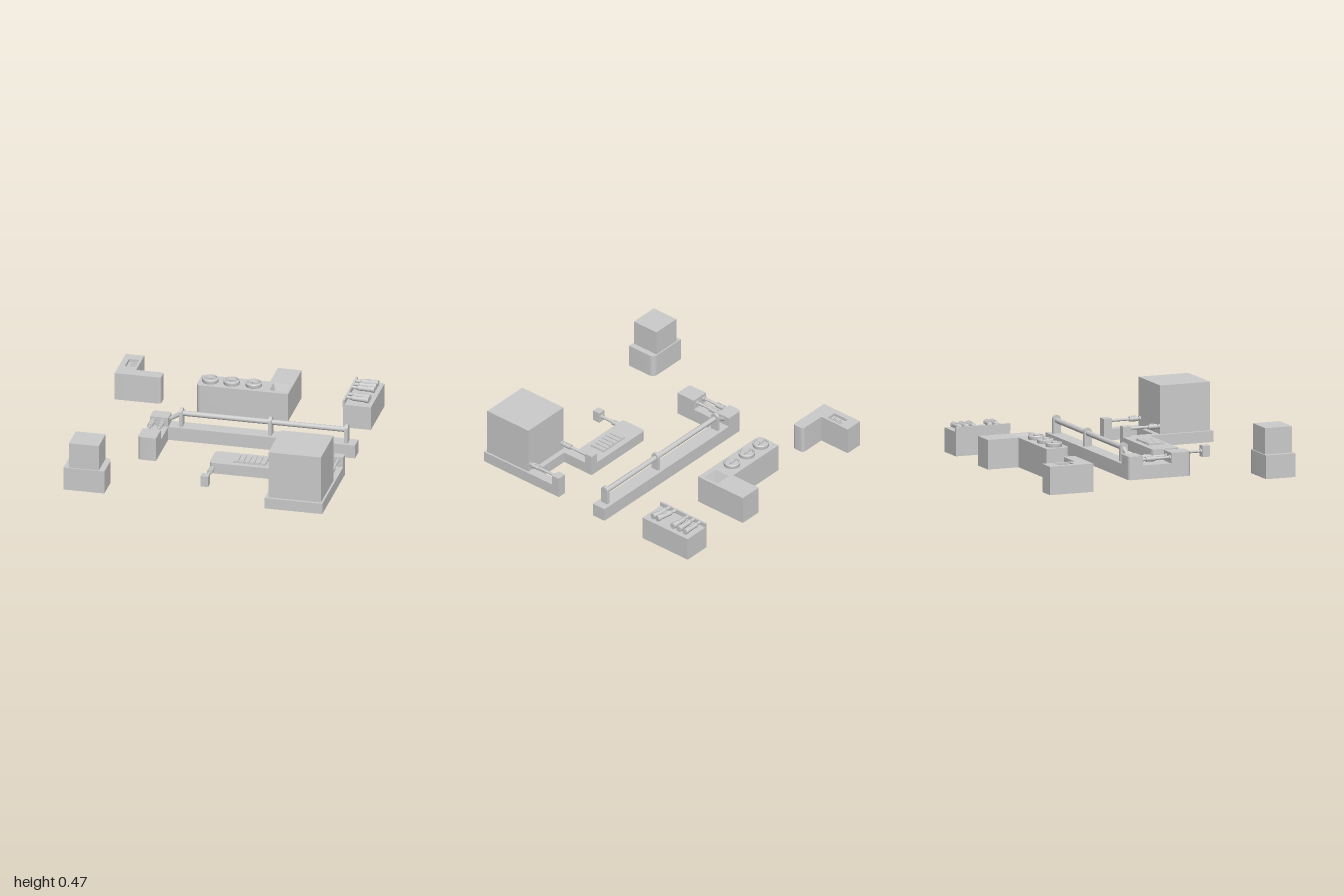
import * as THREE from 'three';
import { mergeGeometries, toCreasedNormals } from 'three/addons/utils/BufferGeometryUtils.js';

const mat = new THREE.MeshStandardMaterial({ color: 0xcccccc, side: THREE.DoubleSide });

function add(parent, name, geo, x = 0, y = 0, z = 0) {
  const m = new THREE.Mesh(geo, mat);
  m.name = name;
  m.position.set(x, y, z);
  parent.add(m);
  return m;
}

function section(parent, name) {
  const g = new THREE.Group();
  g.name = name;
  parent.add(g);
  return g;
}

// Plan outline from [x, z, cornerRadius] points
function outline(pts) {
  const s = new THREE.Shape();
  const n = pts.length;
  const v = pts.map(([x, z]) => new THREE.Vector2(x, -z));
  pts.forEach(([, , r = 0], i) => {
    const p = v[i];
    const toward = (q) => q.clone().sub(p).setLength(r).add(p);
    const a = toward(v[(i + n - 1) % n]);
    const b = toward(v[(i + 1) % n]);
    if (i === 0) s.moveTo(a.x, a.y); else s.lineTo(a.x, a.y);
    if (r) s.quadraticCurveTo(p.x, p.y, b.x, b.y);
  });
  s.closePath();
  return s;
}

const rect = (x0, x1, z0, z1) => [[x0, z0], [x1, z0], [x1, z1], [x0, z1]];

// Hollow block with walls and a top, open underneath; holes pierce the top only
function shell(parent, name, pts, y0, y1, holes = []) {
  const solid = new THREE.ExtrudeGeometry(outline(pts), { depth: y1 - y0, bevelEnabled: false, curveSegments: 6 });
  const side = solid.groups[1];
  const walls = new THREE.BufferGeometry();
  for (const key of ['position', 'normal', 'uv']) {
    const at = solid.attributes[key];
    const k = at.itemSize;
    const part = at.array.slice(side.start * k, (side.start + side.count) * k);
    walls.setAttribute(key, new THREE.BufferAttribute(part, k));
  }
  const lidShape = outline(pts);
  lidShape.holes = holes.map(outline);
  const lid = new THREE.ShapeGeometry(lidShape, 6).toNonIndexed();
  lid.translate(0, 0, y1 - y0);
  const geo = toCreasedNormals(mergeGeometries([walls, lid]), 0.6);
  geo.rotateX(-Math.PI / 2);
  return add(parent, name, geo, 0, y0, 0);
}

function box(parent, name, x0, x1, y0, y1, z0, z1) {
  return add(parent, name, new THREE.BoxGeometry(x1 - x0, y1 - y0, z1 - z0),
    (x0 + x1) / 2, (y0 + y1) / 2, (z0 + z1) / 2);
}

function rod(parent, name, from, to, r, r2 = r) {
  const a = new THREE.Vector3(...from);
  const d = new THREE.Vector3(...to).sub(a);
  const m = add(parent, name, new THREE.CylinderGeometry(r2, r, d.length(), 16));
  m.position.copy(a).addScaledVector(d, 0.5);
  m.quaternion.setFromUnitVectors(new THREE.Vector3(0, 1, 0), d.normalize());
  return m;
}

// Bar along z with flanged ends and a thick coupling
function coupledBar(parent, x, y, z0, z1, c0, c1) {
  const g = section(parent, 'coupledBar');
  rod(g, 'bar', [x, y, z0], [x, y, z1], 0.011);
  rod(g, 'flange', [x, y, z0], [x, y, z0 + 0.012], 0.018);
  rod(g, 'flange', [x, y, z1 - 0.012], [x, y, z1], 0.018);
  rod(g, 'coupling', [x, y, c0], [x, y, c1], 0.02);
  box(g, 'couplingClip', x - 0.006, x + 0.006, y + 0.01, y + 0.024, c0 + 0.018, c1 - 0.018);
}

function cabinet(root) {
  const g = section(root, 'cabinet');
  shell(g, 'cabinetBase', [[-1, 0.76], [-0.685, 0.76, 0.045], [-0.685, 1], [-1, 1]], 0.01, 0.19);
  shell(g, 'cabinetTop', rect(-0.96, -0.73, 0.77, 0.99), 0.19, 0.39);
}

function cornerDesk(root) {
  const g = section(root, 'cornerDesk');
  shell(g, 'deskBody', [[-1, -1], [-0.857, -1], [-0.857, -0.74], [-0.645, -0.74, 0.02],
    [-0.645, -0.645, 0.02], [-1, -0.645]], 0.015, 0.23, [rect(-0.955, -0.875, -0.917, -0.785)]);
  // sunken slotted panel
  shell(g, 'panelWell', rect(-0.955, -0.875, -0.917, -0.785), 0.205, 0.207);
  for (const [x0, x1] of [[-0.956, -0.955], [-0.875, -0.874]]) box(g, 'wellSide', x0, x1, 0.205, 0.23, -0.917, -0.785);
  for (const [z0, z1] of [[-0.918, -0.917], [-0.785, -0.784]]) box(g, 'wellEnd', -0.955, -0.875, 0.205, 0.23, z0, z1);
  for (let i = 0; i < 7; i++) {
    const z = -0.9 + i * 0.017;
    box(g, 'panelBar', -0.91 - (i % 3) * 0.01, -0.877, 0.205, 0.222, z - 0.004, z + 0.004);
  }
}

function burnerCounter(root) {
  const g = section(root, 'burnerCounter');
  const top = 0.24;
  shell(g, 'counterBody', [[-0.353, -0.75], [0.17, -0.75], [0.17, -1], [0.353, -1], [0.353, -0.56],
    [-0.353, -0.56, 0.035]], 0.015, top, [rect(0.2, 0.33, -0.73, -0.6)]);
  // tapering square basin
  const basin = new THREE.CylinderGeometry(0.065 * Math.SQRT2, 0.026 * Math.SQRT2, 0.1, 4, 1, true).toNonIndexed();
  basin.rotateY(Math.PI / 4);
  basin.computeVertexNormals();
  add(g, 'basin', basin, 0.265, top - 0.05, -0.665);
  box(g, 'basinFloor', 0.239, 0.291, top - 0.102, top - 0.1, -0.691, -0.639);
  // dished round burners with a crossbar
  const profile = [[0.06, 0], [0.062, 0.008], [0.062, 0.026], [0.057, 0.032], [0.05, 0.032], [0.046, 0.018], [0, 0.018]]
    .map(([r, y]) => new THREE.Vector2(r, y));
  const dish = toCreasedNormals(new THREE.LatheGeometry(profile, 32), 0.6);
  for (const x of [-0.265, -0.102, 0.068]) {
    add(g, 'burner', dish, x, top, -0.65);
    box(g, 'burnerBar', x - 0.05, x + 0.05, top + 0.018, top + 0.03, -0.654, -0.646);
    rod(g, 'burnerHub', [x, top + 0.018, -0.65], [x, top + 0.032, -0.65], 0.012);
  }
}

function bottleCrate(root) {
  const g = section(root, 'bottleCrate');
  shell(g, 'crateBody', rect(0.775, 0.99, -1, -0.558), 0.015, 0.2);
  box(g, 'crateLip', 0.772, 0.787, 0.18, 0.235, -1, -0.558);
  // bottles lying on the crate: z at the neck end, z at the base end
  for (const [z0, z1] of [[-0.945, -0.942], [-0.885, -0.882], [-0.828, -0.824], [-0.705, -0.672], [-0.645, -0.63]]) {
    const at = (t) => [0.787 + 0.17 * t, 0.224, z0 + (z1 - z0) * t];
    rod(g, 'bottleNeck', at(0), at(0.2), 0.013);
    rod(g, 'bottleShoulder', at(0.17), at(0.27), 0.013, 0.02);
    rod(g, 'bottleBody', at(0.27), at(0.92), 0.02);
    rod(g, 'bottleBase', at(0.86), at(1), 0.024);
    const m = at(0.55);
    box(g, 'bottleLabel', m[0] - 0.022, m[0] + 0.022, 0.235, 0.247, m[2] - 0.006, m[2] + 0.006);
  }
}

function railBar(root) {
  const g = section(root, 'railBar');
  shell(g, 'barBase', [[-0.59, -0.18, 0.03], [0.985, -0.18], [0.985, -0.067], [-0.45, -0.067],
    [-0.45, 0.325], [-0.59, 0.325, 0.03]], 0, 0.105);
  shell(g, 'cornerBlock', [[-0.59, -0.18, 0.03], [-0.45, -0.18], [-0.45, -0.067], [-0.59, -0.067]], 0.105, 0.178);
  shell(g, 'endBlock', [[-0.59, 0.165], [-0.45, 0.165], [-0.45, 0.325], [-0.59, 0.325, 0.03]], 0.105, 0.185);
  for (const x of [-0.567, -0.492]) coupledBar(g, x, 0.147, -0.067, 0.165, -0.035, 0.04);
  // round-topped posts carrying the handrail
  const s = new THREE.Shape();
  s.moveTo(-0.031, 0);
  s.lineTo(0.031, 0);
  s.lineTo(0.031, 0.11);
  s.absarc(0, 0.11, 0.031, 0, Math.PI);
  s.closePath();
  const post = new THREE.ExtrudeGeometry(s, { depth: 0.026, bevelEnabled: false, curveSegments: 12 });
  post.rotateY(Math.PI / 2);
  const postGeo = toCreasedNormals(post, 0.6);
  for (const x of [-0.36, 0.325, 0.91]) add(g, 'railPost', postGeo, x - 0.013, 0.105, -0.123);
  rod(g, 'handrail', [-0.36, 0.205, -0.123], [0.91, 0.205, -0.123], 0.02);
  rod(g, 'railStrut', [-0.455, 0.145, -0.123], [-0.36, 0.205, -0.123], 0.014, 0.018);
}

function mainStation(root) {
  const g = section(root, 'mainStation');
  shell(g, 'stationBase', [[-0.005, 0.265, 0.035], [0.61, 0.265], [0.61, 0.535], [0.915, 0.535], [0.915, 0.265],
    [0.99, 0.265], [0.99, 1], [0.545, 1], [0.545, 0.48, 0.04], [-0.005, 0.48, 0.03]], 0.02, 0.105);
  shell(g, 'stationBlock', rect(0.57, 0.975, 0.575, 0.98), 0.105, 0.475);
  // end posts and the bars running back to the block
  for (const [x0, x1, x] of [[0.55, 0.61, 0.588], [0.915, 0.99, 0.95]]) {
    shell(g, 'endPost', rect(x0, x1, 0.265, 0.33), 0.105, 0.185);
    coupledBar(g, x, 0.163, 0.33, 0.575, 0.485, 0.552);
  }
  // slatted grille on the counter
  const grille = section(g, 'grille');
  box(grille, 'grilleBed', 0.167, 0.418, 0.1, 0.11, 0.31, 0.44);
  for (let i = 0; i < 6; i++) {
    const x = 0.171 + i * 0.042;
    box(grille, 'grilleSlat', x, x + 0.034, 0.105, 0.118, 0.314, 0.436);
  }
  // small cube held off the counter end
  coupledBar(g, 0.018, 0.062, 0.48, 0.67, 0.5, 0.56);
  shell(g, 'cube', rect(-0.012, 0.047, 0.67, 0.73), 0.02, 0.105);
}

export function createModel() {
  const root = new THREE.Group();
  root.name = 'furnitureSet';
  [cabinet, cornerDesk, burnerCounter, bottleCrate, railBar, mainStation].forEach((build) => build(root));
  return root;
}
